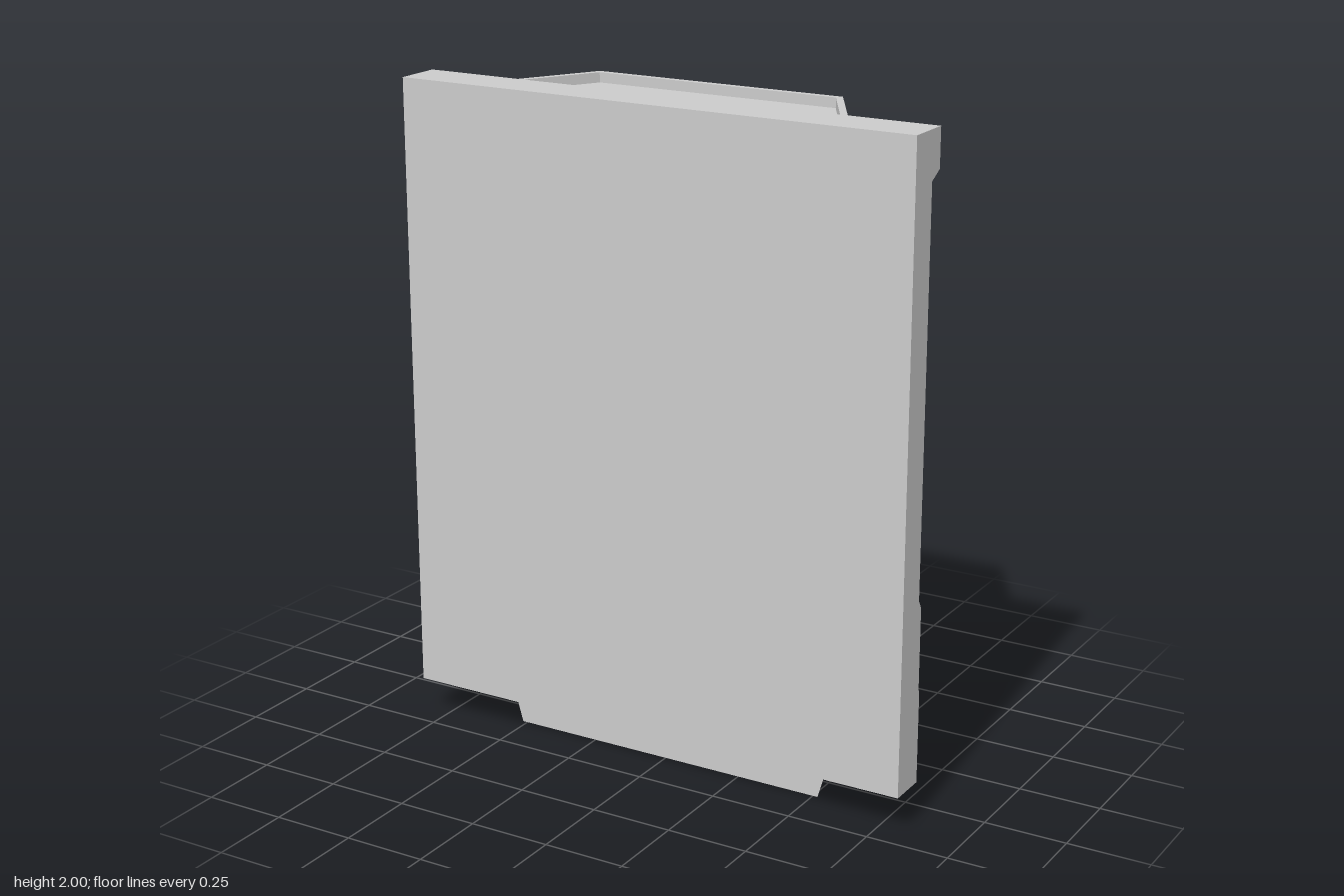
import * as THREE from 'three';

const mat = new THREE.MeshStandardMaterial({ color: 0xcccccc, flatShading: true });
const COS = Math.cos(Math.PI / 6), TAN = Math.tan(Math.PI / 6);
const BACK = 0.1;                       // where the bay is bedded in the wall
const LOW = 0.41, HIGH = 1.86;          // extent of the windowed walls
const INSET = 0.03;                     // inset of those walls from the cornice rim

function add(parent, name, geometry, x = 0, y = 0, z = 0) {
  const mesh = new THREE.Mesh(geometry, mat);
  mesh.name = name;
  mesh.position.set(x, y, z);
  parent.add(mesh);
  return mesh;
}

// Trapezoid bay footprint, inset by d, at height y
function footprint(d, y) {
  const z = -0.2 + d, x = 0.4 - TAN * d, w = x + (BACK - z) * TAN;
  return [[-w, y, BACK], [-x, y, z], [x, y, z], [w, y, BACK]];
}

// Skin a stack of [inset, height] footprints and cap both ends
function loft(levels) {
  const rings = levels.map(([d, y]) => footprint(d, y)), pos = [];
  const quad = (a, b, c, d) => [a, b, c, a, c, d].forEach(p => pos.push(...p));
  for (let i = 0; i < rings.length - 1; i++) {
    const lo = rings[i], hi = rings[i + 1];
    for (let j = 0; j < 4; j++) {
      const k = (j + 1) % 4;
      quad(lo[j], hi[j], hi[k], lo[k]);
    }
  }
  quad(...rings[0]);
  quad(...rings[rings.length - 1].slice().reverse());
  const g = new THREE.BufferGeometry();
  g.setAttribute('position', new THREE.Float32BufferAttribute(pos, 3));
  g.computeVertexNormals();
  return g;
}

// One bay wall with its window; local +z points outward, x runs along the wall
function windowWall(name, o) {
  const g = new THREE.Group();
  g.name = name;
  const { left, right, half, bottom, top, jamb, bars, lintel } = o;

  // Wall panel with opening
  const shape = new THREE.Shape();
  shape.moveTo(left, LOW).lineTo(right, LOW).lineTo(right, HIGH).lineTo(left, HIGH).closePath();
  const hole = new THREE.Path();
  hole.moveTo(-half, bottom).lineTo(-half, top).lineTo(half, top).lineTo(half, bottom).closePath();
  shape.holes.push(hole);
  add(g, 'wallPanel', new THREE.ExtrudeGeometry(shape, { depth: 0.03, bevelEnabled: false }), 0, 0, -0.03);

  const h = top - bottom, mid = (top + bottom) / 2;
  add(g, 'glass', new THREE.BoxGeometry(half * 2, h, 0.01), 0, mid, -0.022);

  // Frame
  for (const s of [-1, 1]) {
    add(g, 'jamb', new THREE.BoxGeometry(jamb, h, 0.03), s * (half - jamb / 2), mid, -0.009);
    add(g, 'rail', new THREE.BoxGeometry(half * 2, 0.016, 0.028), 0, mid + s * (h / 2 - 0.008), -0.009);
  }
  // Glazing bars
  for (const [x, w] of bars) add(g, 'mullion', new THREE.BoxGeometry(w, h, 0.022), x, mid, -0.011);
  for (let i = 1; i < 5; i++) {
    add(g, 'glazingBar', new THREE.BoxGeometry(half * 2 - jamb, 0.014, 0.014), 0, 0.53 + i * 0.22, -0.012);
  }
  // Lintel and sill
  add(g, 'lintel', new THREE.BoxGeometry(o.trim, lintel, 0.03), 0, top + lintel / 2, 0);
  add(g, 'sill', new THREE.BoxGeometry(o.trim, 0.036, 0.035), 0, bottom - 0.018, 0);
  return g;
}

export function createModel() {
  const model = new THREE.Group();
  model.name = 'bayWindowWall';

  // Main wall: stepped dado below, chamfered band on top
  const profile = [[-0.2, 0.115], [-0.08, 0.115], [-0.08, 0.39], [-0.085, 0.405], [-0.085, 0.65],
    [-0.1, 0.675], [-0.1, 1.86], [-0.055, 1.885], [-0.055, 2], [-0.2, 2]];
  const wall = new THREE.ExtrudeGeometry(
    new THREE.Shape(profile.map(p => new THREE.Vector2(...p))), { depth: 1.64, bevelEnabled: false });
  wall.translate(0, 0, -0.82).rotateY(Math.PI / 2);
  add(model, 'wall', wall);

  // Bay base and cornice
  add(model, 'bayBase', loft([[0.05, 0], [0.035, 0.06], [0.015, 0.155], [0.015, 0.39], [INSET, LOW]]));
  add(model, 'bayCornice', loft([[INSET, HIGH], [0.012, 1.882], [0.012, 1.972], [0, 1.978],
    [0, 1.995], [0.02, 1.995], [0.02, 1.965]]));

  // Wide window wall
  const zc = -0.2 + INSET, xc = 0.4 - TAN * INSET;
  const wide = windowWall('wideWindow', {
    left: -xc, right: xc, half: 0.29, bottom: 0.52, top: 1.63, jamb: 0.024, trim: 0.62, lintel: 0.018,
    bars: [[-0.207, 0.022], [-0.069, 0.014], [0.069, 0.014], [0.207, 0.022]]
  });
  wide.position.z = zc;
  wide.rotation.y = Math.PI;
  model.add(wide);

  // Narrow slanted window walls
  const zw = -0.03, toCorner = (zw - zc) / COS, toWall = (BACK - zw) / COS;
  for (const s of [-1, 1]) {
    const side = windowWall('sideWindow', {
      left: s > 0 ? -toWall : -toCorner, right: s > 0 ? toCorner : toWall,
      half: 0.082, bottom: 0.52, top: 1.655, jamb: 0.024, trim: 0.195, lintel: 0.034,
      bars: [[0, 0.022]]
    });
    side.position.set(s * (xc + (zw - zc) * TAN), 0, zw);
    side.rotation.y = s * Math.PI * 2 / 3;
    model.add(side);
  }
  return model;
}
